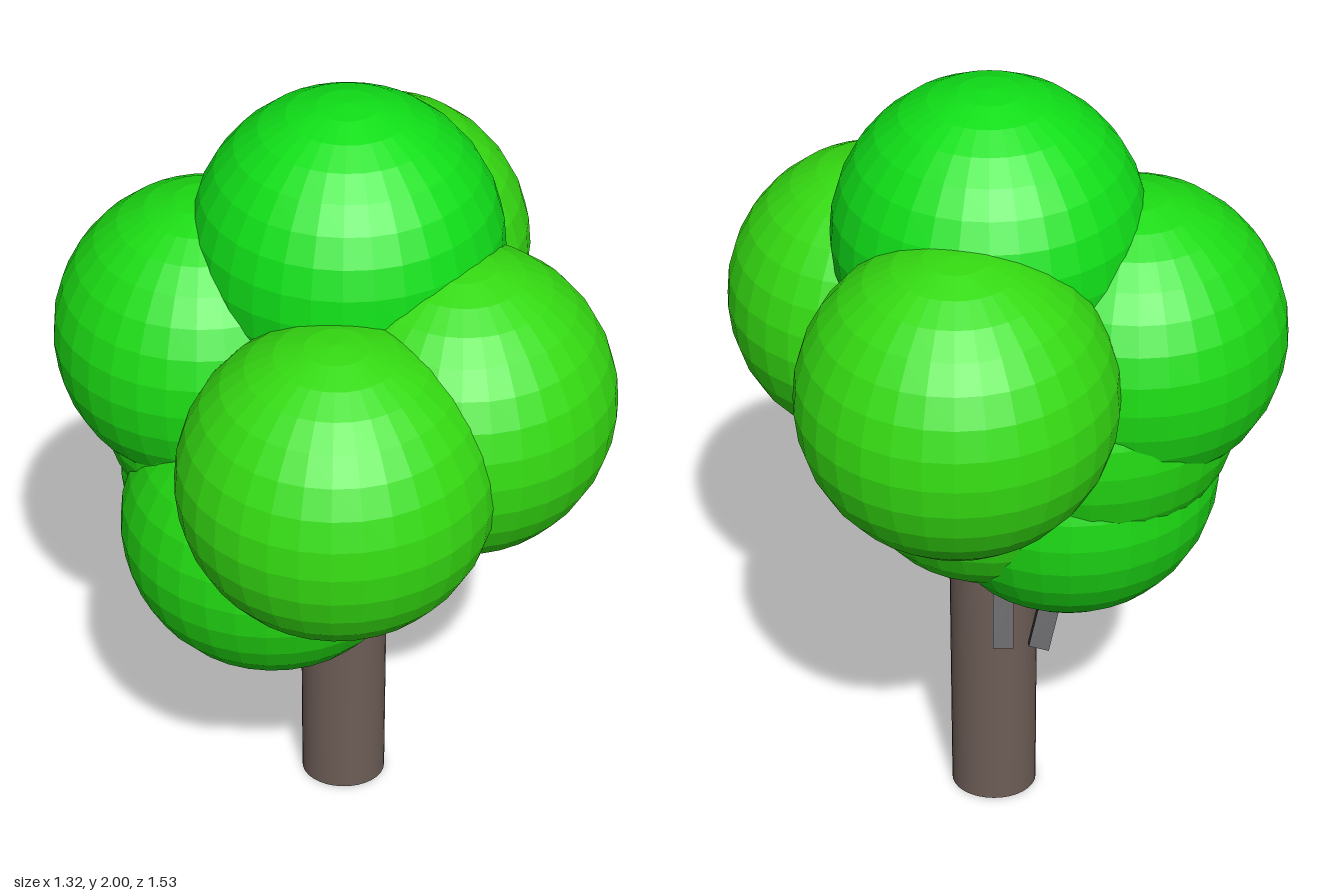
import * as THREE from 'three';

const mat = (color, flatShading = false) => new THREE.MeshStandardMaterial({ color, flatShading });

function addMesh(group, name, geometry, material) {
  const mesh = new THREE.Mesh(geometry, material);
  mesh.name = name;
  group.add(mesh);
  return mesh;
}

export function createModel() {
  const tree = new THREE.Group();
  tree.name = 'tree';

  // Trunk: slightly oval column running up into the foliage
  const trunk = addMesh(tree, 'trunk', new THREE.CylinderGeometry(1, 1, 0.95, 32), mat(0x6d5d57));
  trunk.scale.set(0.108, 1, 0.09);
  trunk.position.set(0.024, 0.475, -0.06);

  // Foliage: overlapping faceted balls of equal size
  const ball = new THREE.SphereGeometry(0.364, 32, 16);
  const foliage = [
    ['topFoliage', 0.03, 1.636, -0.053, 0x10e018],
    ['frontFoliage', 0.02, 1.3, 0.402, 0x35dc12],
    ['leftFoliage', 0.293, 1.35, 0.15, 0x35dc12],
    ['rightFoliage', -0.297, 1.38, -0.065, 0x1cdc14],
    ['backFoliage', 0.102, 1.42, -0.402, 0x35dc12],
    ['lowerFrontFoliage', -0.14, 0.97, 0.13, 0x22d812],
    ['lowerLeftFoliage', 0.03, 1.09, -0.06, 0x30dc12],
    ['lowerRightFoliage', -0.155, 1.0, -0.06, 0x1cd814],
    ['innerRightFoliage', -0.2, 1.21, -0.07, 0x22d812],
  ];
  for (const [name, x, y, z, color] of foliage) {
    addMesh(tree, name, ball, mat(color, true)).position.set(x, y, z);
  }

  // Two short dark twigs hanging behind the trunk
  const twigs = [
    [new THREE.Vector3(0.0, 0.7, -0.175), new THREE.Vector3(0.0, 0.575, -0.24)],
    [new THREE.Vector3(-0.12, 0.7, -0.175), new THREE.Vector3(-0.085, 0.575, -0.24)],
  ];
  for (const [top, bottom] of twigs) {
    const dir = top.clone().sub(bottom);
    const twig = addMesh(tree, 'twig', new THREE.BoxGeometry(0.05, dir.length(), 0.038), mat(0x3c3c40, true));
    twig.position.copy(top).add(bottom).multiplyScalar(0.5);
    twig.quaternion.setFromUnitVectors(new THREE.Vector3(0, 1, 0), dir.normalize());
  }

  return tree;
}
